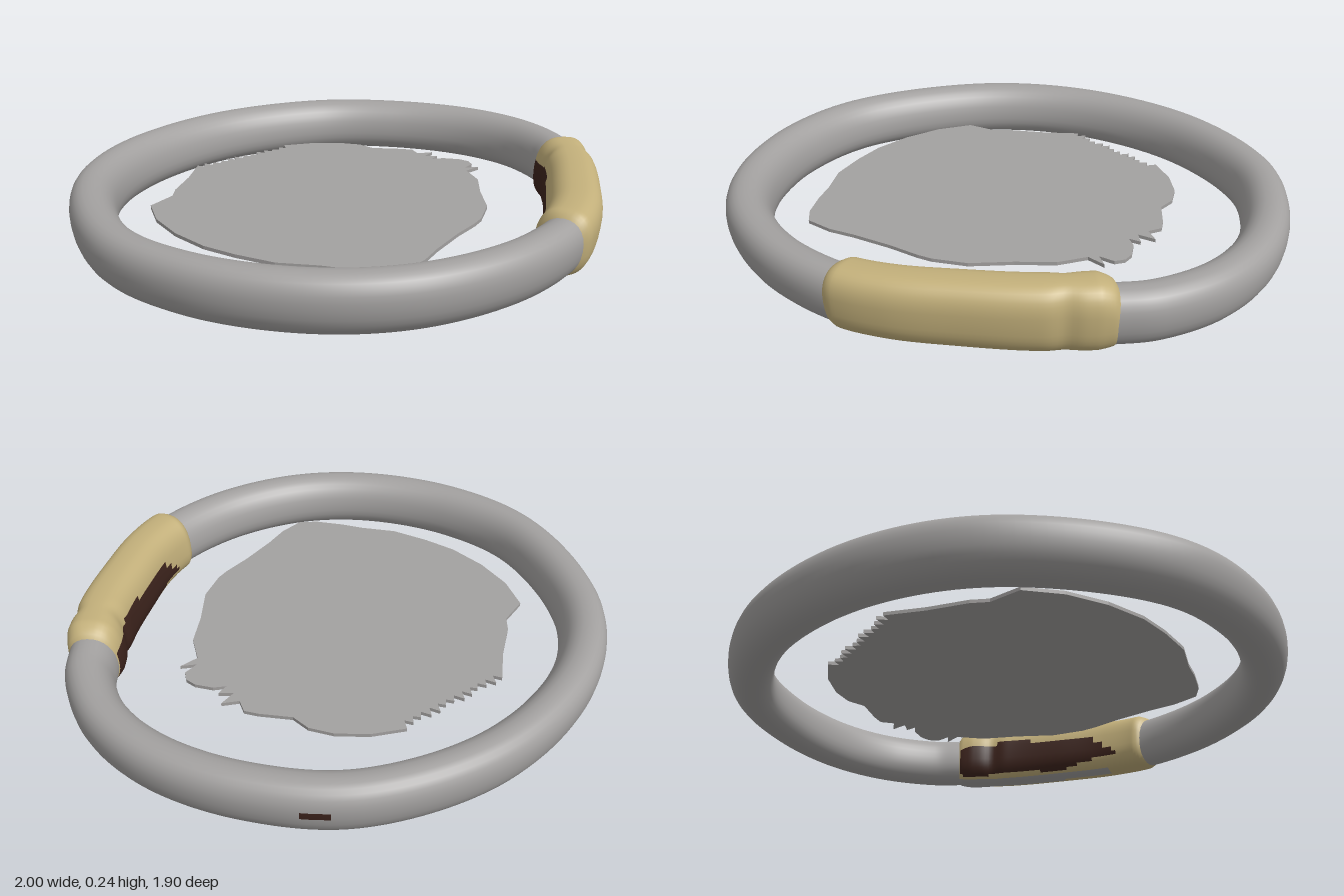
import * as THREE from 'three';

const mat = (name, color, side = THREE.FrontSide) => {
  const m = new THREE.MeshStandardMaterial({ color, side });
  m.name = name;
  return m;
};

// Centre line of the hoop; the first four spans carry the grip
const PATH = [[0.81, 0.27], [0.67, 0.45], [0.5, 0.61], [0.34, 0.74], [0.18, 0.82], [-0.11, 0.86],
  [-0.42, 0.795], [-0.66, 0.63], [-0.855, 0.34], [-0.92, -0.01], [-0.74, -0.5], [-0.425, -0.77],
  [0.03, -0.88], [0.47, -0.775], [0.72, -0.555], [0.875, -0.285], [0.915, -0.04], [0.87, 0.17]];
const curve = new THREE.CatmullRomCurve3(PATH.map(([x, z]) => new THREE.Vector3(x, 0, z)), true);

const power = (v, p) => Math.sign(v) * Math.abs(v) ** p;

// Sweep a rounded section along the path; section(t) gives size, pick(t, a) gives the material index
function sweep(u0, u1, rows, cols, section, pick) {
  const pos = [], lists = [[], [], []];
  for (let i = 0; i <= rows; i++) {
    const t = i / rows, u = (u0 + (u1 - u0) * t) % 1;
    const c = curve.getPoint(u), d = curve.getTangent(u);
    const s = section(t);
    for (let j = 0; j < cols; j++) {
      const a = (j / cols) * Math.PI * 2;
      const up = power(Math.sin(a), s.p), out = s.w * power(Math.cos(a), s.p) + 0.012 * up;
      pos.push(c.x + d.z * out, s.y + s.h * up, c.z - d.x * out);
    }
  }
  for (let i = 0; i < rows; i++) {
    for (let j = 0; j < cols; j++) {
      const k = (j + 1) % cols, r = i * cols, n = r + cols;
      lists[pick((i + 0.5) / rows, (j + 0.5) / cols * 2)]
        .push(r + j, r + k, n + j, r + k, n + k, n + j);
    }
  }
  const g = new THREE.BufferGeometry();
  g.setAttribute('position', new THREE.Float32BufferAttribute(pos, 3));
  g.setIndex(lists.flat());
  let start = 0;
  lists.forEach((l, m) => {
    if (l.length) g.addGroup(start, l.length, m);
    start += l.length;
  });
  g.computeVertexNormals();
  return g;
}

export function createModel() {
  const model = new THREE.Group();
  model.name = 'hoopWithGrip';
  const grey = mat('grey metal', 0xa3a1a0);
  const tan = mat('tan wrap', 0xc3b07b);
  const brown = mat('dark brown', 0x3c231c);
  const mats = [grey, tan, brown];
  const add = (name, geometry, material) => {
    const m = new THREE.Mesh(geometry, material);
    m.name = name;
    model.add(m);
  };

  // Hoop, with a small dark mark on its outer rear face
  const gripEnd = 4 / 18, u0 = gripEnd - 0.012, u1 = 1.012;
  add('hoop', sweep(u0, u1, 180, 28,
    () => ({ w: 0.079, h: 0.099, y: 0.11, p: 0.9 }),
    (t, a) => {
      const u = u0 + (u1 - u0) * t;
      return Math.abs(u - 13.35 / 18) < 0.007 && a < 0.07 ? 2 : 0;
    }), mats);

  // Grip wrap: thicker, squarer, worn dark on the inside and bare below
  add('grip', sweep(0, gripEnd, 72, 40,
    (t) => {
      const e = Math.min(1, t * 14, (1 - t) * 22), k = Math.sqrt(e);
      const notch = 0.012 * Math.exp(-(((t - 0.17) / 0.035) ** 2));
      return {
        w: 0.072 + 0.021 * k - notch,
        h: 0.096 + (0.025 - 0.009 * t) * k,
        y: 0.11 + (0.014 - 0.006 * t) * k,
        p: 0.9 - 0.15 * k,
      };
    },
    (t, a) => {
      const wave = 0.03 * Math.sin(t * 17);
      const taper = Math.max(0, t - 0.55) * 0.5;
      if (t > 0.02 && t < 0.82 && a > 0.93 + wave + taper && a < 1.26 + wave - taper) return 2;
      return t < 0.75 && a > 1.36 && a < 1.6 - 0.15 * t ? 0 : 1;
    }), mats);

  // Ragged plate floating in the middle, with frayed rear and left edges
  const outline = [];
  for (let i = 0; i <= 24; i++) outline.push([-0.26 + i * 0.0175, i % 2 ? -0.583 : -0.61 + 0.008 * Math.sin(i * 2.3)]);
  outline.push([0.27, -0.57], [0.36, -0.5], [0.41, -0.43], [0.42, -0.36], [0.5, -0.28], [0.53, -0.24],
    [0.515, -0.19], [0.57, -0.165], [0.51, -0.145], [0.55, -0.115], [0.51, -0.1], [0.55, -0.08],
    [0.59, -0.03], [0.6, 0.01], [0.585, 0.045], [0.53, 0.06], [0.58, 0.085], [0.51, 0.09],
    [0.47, 0.19], [0.38, 0.29], [0.29, 0.41], [0.19, 0.48], [0.14, 0.5], [0.03, 0.53], [-0.11, 0.58],
    [-0.2, 0.62], [-0.3, 0.64], [-0.36, 0.6], [-0.43, 0.52], [-0.48, 0.45], [-0.57, 0.35], [-0.63, 0.22],
    [-0.67, 0.1], [-0.685, -0.05], [-0.67, -0.2], [-0.62, -0.33], [-0.51, -0.37], [-0.47, -0.42], [-0.36, -0.51]);
  const plate = new THREE.ExtrudeGeometry(
    new THREE.Shape(outline.map(([x, z]) => new THREE.Vector2(x, z))),
    { depth: 0.012, bevelEnabled: false });
  plate.rotateX(Math.PI / 2);
  plate.translate(0, 0.105, 0);
  add('centrePlate', plate, grey);

  return model;
}
